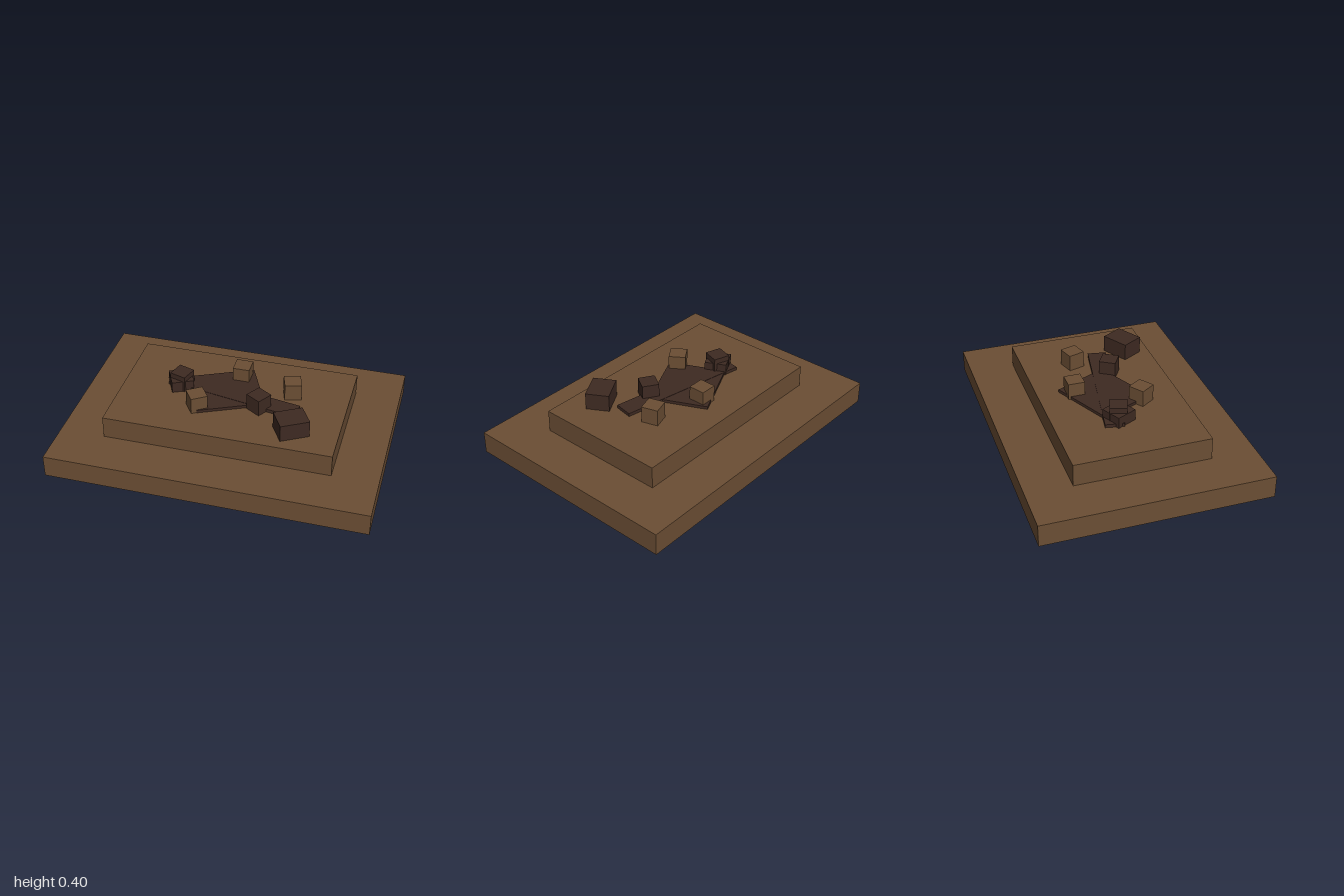
import * as THREE from 'three';

export function createModel() {
  const model = new THREE.Group();
  model.name = 'steppedBase';

  const wood = new THREE.MeshStandardMaterial({ color: 0x6b4e34 });
  wood.name = 'wood brown';
  const dark = new THREE.MeshStandardMaterial({ color: 0x3e2a22 });
  dark.name = 'dark brown';

  // Box standing on height y, turned about the vertical axis (degrees)
  function block(name, material, [w, h, d], [x, y, z], turn = 0) {
    const mesh = new THREE.Mesh(new THREE.BoxGeometry(w, h, d), material);
    mesh.name = name;
    mesh.position.set(x, y + h / 2, z);
    mesh.rotation.y = THREE.MathUtils.degToRad(turn);
    model.add(mesh);
  }

  // Two-step base
  const step = 0.143, top = step * 2;
  block('lowerStep', wood, [2, step, 1.43], [0, 0, 0]);
  block('upperStep', wood, [1.43, step, 0.857], [0, step, 0]);

  // Thin dark pieces lying on the upper step
  block('wideSlab', dark, [0.43, 0.019, 0.37], [-0.056, top, -0.03], 25);
  block('longPlank', dark, [0.857, 0.021, 0.12], [0, top, 0], -10.5);

  // Scattered small cubes: x, z, turn, material
  const size = 0.107;
  [
    [0.01, -0.2, 0, wood],
    [0.355, -0.11, 17, wood],
    [-0.188, 0.17, 34, wood],
    [0.185, 0.085, -32, dark],
    [-0.343, -0.03, -18, dark],
  ].forEach(([x, z, turn, material], i) =>
    block(`smallCube${i + 1}`, material, [size, size, size], [x, top, z], turn));

  // Larger dark blocks
  block('largeBlock', dark, [0.185, 0.109, 0.148], [0.428, top, 0.257], 30);
  block('lowBlock', dark, [0.14, 0.072, 0.14], [-0.35, top, -0.03], 26);

  return model;
}
